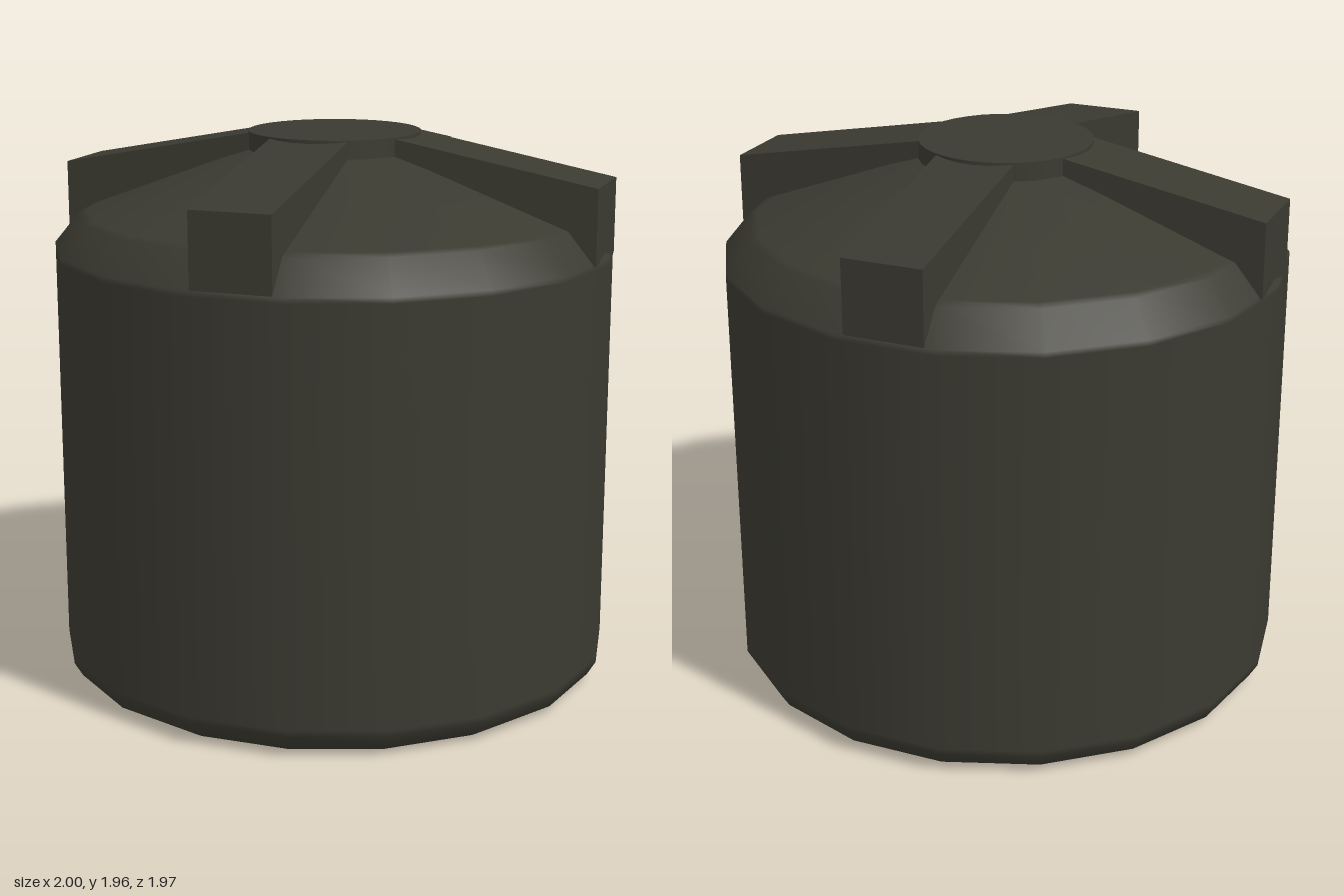
import * as THREE from 'three';

export function createModel() {
  const group = new THREE.Group();
  group.name = 'waterTank';
  const plastic = new THREE.MeshStandardMaterial({ color: 0x3b3a31 });
  plastic.name = 'dark olive plastic';

  const add = (name, geometry) => {
    const mesh = new THREE.Mesh(geometry, plastic);
    mesh.name = name;
    group.add(mesh);
    return mesh;
  };

  // Tank body: 18 sides, bevelled base and conical roof.
  // Extra rings beside the bevels keep the smooth shading local to them.
  const profile = [
    [0, 0], [0.9, 0], [0.92, 0], [0.97, 0.03], [1, 0.08], [1, 0.1],
    [1, 1.54], [1, 1.56], [0.91, 1.67], [0.88, 1.681], [0.28, 1.905], [0, 1.91],
  ].map(([r, y]) => new THREE.Vector2(r, y));
  add('tankBody', new THREE.LatheGeometry(profile, 18, Math.PI / 2));

  // Round lid
  const lid = add('lid', new THREE.CylinderGeometry(0.305, 0.305, 0.08, 36));
  lid.position.y = 1.92;

  // Four sloping ribs from the lid to the rim
  const side = new THREE.Shape([
    [0.26, 1.85], [0.8, 1.555], [0.984, 1.555], [0.984, 1.82], [0.26, 1.956],
  ].map(([x, y]) => new THREE.Vector2(x, y)));
  const ribGeometry = new THREE.ExtrudeGeometry(side, { depth: 0.284, bevelEnabled: false });
  ribGeometry.translate(0, 0, -0.142);
  ['leftRib', 'backRib', 'rightRib', 'frontRib'].forEach((name, i) => {
    add(name, ribGeometry).rotation.y = i * Math.PI / 2;
  });

  return group;
}
